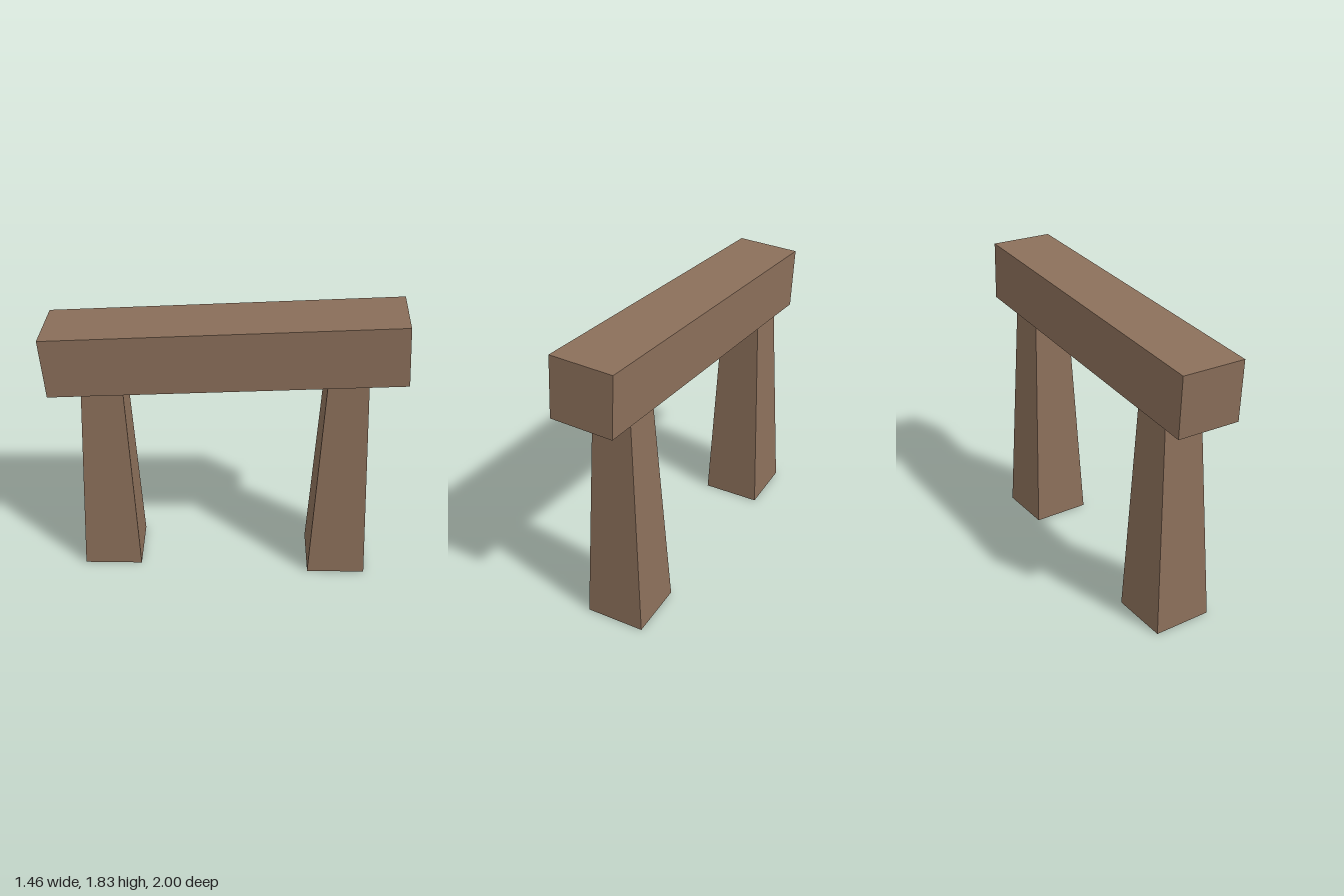
import * as THREE from 'three';

export function createModel() {
  const group = new THREE.Group();
  const stone = new THREE.MeshStandardMaterial({ color: 0x8b6f5a, flatShading: true });

  // Square pillar tapering upward, its top sunk into the lintel
  const height = 1.46;
  const pillarGeometry = new THREE.CylinderGeometry(0.234 / Math.SQRT2, 0.366 / Math.SQRT2, height, 4, 1)
    .rotateY(Math.PI / 4)
    .translate(0, height / 2, 0);

  const addPillar = (name, x, z) => {
    const pillar = new THREE.Mesh(pillarGeometry, stone);
    pillar.name = name;
    pillar.position.set(x, 0, z);
    pillar.rotation.y = 0.605;
    group.add(pillar);
  };
  addPillar('frontPillar', 0.41, 0.59);
  addPillar('backPillar', -0.363, -0.64);

  // Slab lying across both pillars, slightly tilted
  const lintel = new THREE.Mesh(new THREE.BoxGeometry(0.391, 0.371, 2.096), stone);
  lintel.name = 'lintel';
  lintel.position.set(-0.002, 1.566, 0);
  lintel.rotation.set(-0.071, 0.566, -0.011, 'YXZ');
  group.add(lintel);

  return group;
}
